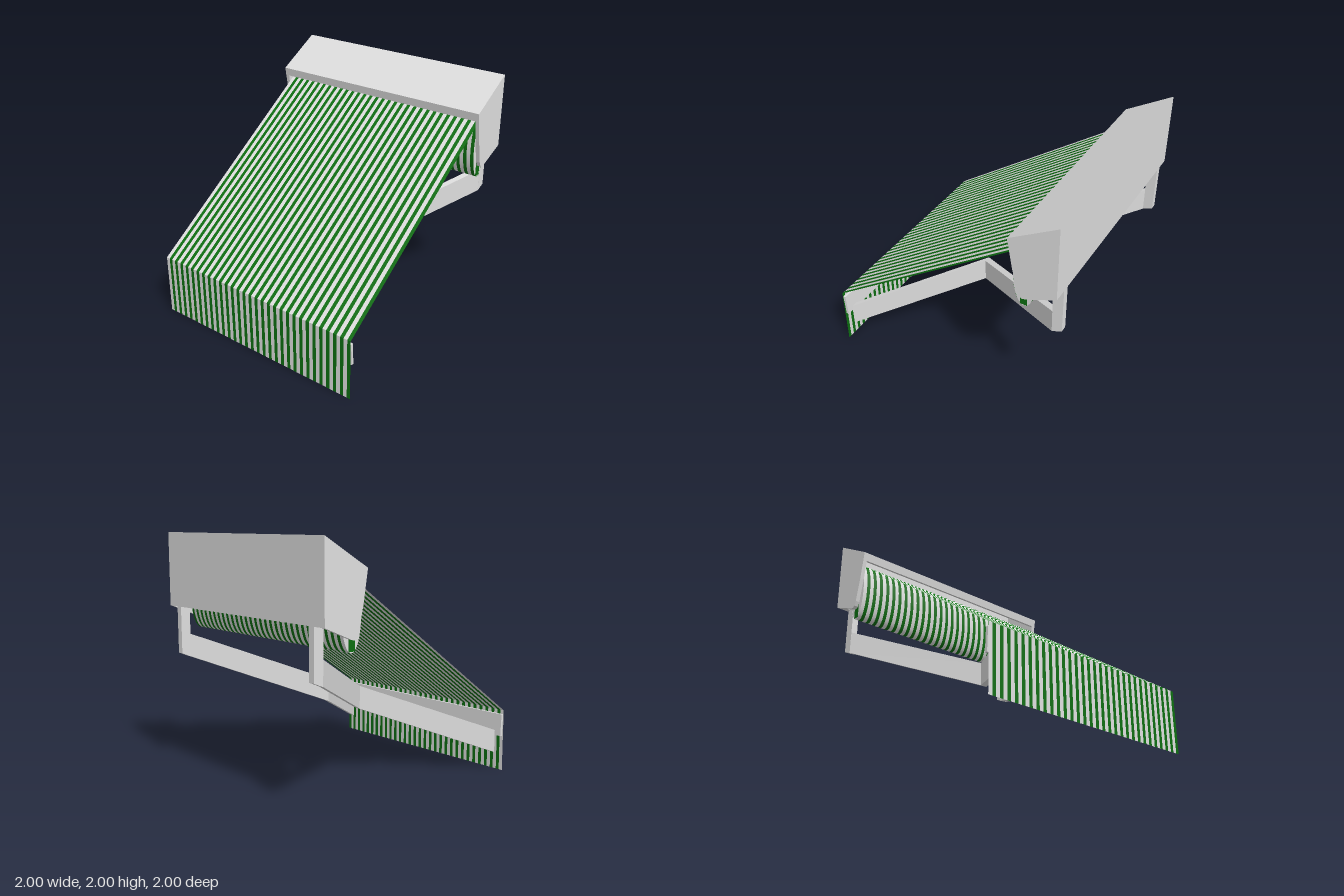
import * as THREE from 'three';
import { mergeGeometries } from 'three/addons/utils/BufferGeometryUtils.js';

const HALF = 0.965;      // half width of the cloth
const STRIPES = 30;
const ROLL = { z: -0.73, y: 1.45, rz: 0.09, ry: 0.26 };

// Extrude a (z, y) outline along x, centred on x = 0
function extrudeX(points, width) {
  const shape = new THREE.Shape(points.map(([z, y]) => new THREE.Vector2(z, y)));
  const g = new THREE.ExtrudeGeometry(shape, { depth: width, bevelEnabled: false });
  return g.rotateY(-Math.PI / 2).translate(width / 2, 0, 0);
}

// Sweep a (z, y) profile line across x from x0 to x1
function ribbon(profile, x0, x1) {
  const pos = [], index = [];
  profile.forEach(([z, y], i) => {
    pos.push(x0, y, z, x1, y, z);
    if (i) {
      const a = 2 * (i - 1);
      index.push(a, a + 1, a + 2, a + 1, a + 3, a + 2);
    }
  });
  const g = new THREE.BufferGeometry();
  g.setAttribute('position', new THREE.Float32BufferAttribute(pos, 3));
  g.setIndex(index);
  g.computeVertexNormals();
  return g;
}

// Slanted bar with upright ends, running from point a to point b
function slantedBar(a, b, width, height) {
  const g = new THREE.BoxGeometry(1, 1, 1);
  const p = g.attributes.position;
  for (let i = 0; i < p.count; i++) {
    const c = new THREE.Vector3().lerpVectors(a, b, p.getZ(i) + 0.5);
    p.setXYZ(i, c.x + p.getX(i) * width, c.y + p.getY(i) * height, c.z);
  }
  g.computeVertexNormals();
  return g;
}

export function createModel() {
  const model = new THREE.Group();
  model.name = 'awning';
  const frameGrey = new THREE.MeshStandardMaterial({ color: 0xdedede });
  frameGrey.name = 'frame grey';
  const clothWhite = new THREE.MeshStandardMaterial({ color: 0xe0e0e0, side: THREE.DoubleSide });
  clothWhite.name = 'cloth white';
  const clothGreen = new THREE.MeshStandardMaterial({ color: 0x0c6e10, side: THREE.DoubleSide });
  clothGreen.name = 'cloth green';

  const add = (name, geometry, material, parent = model) => {
    const mesh = new THREE.Mesh(geometry, material);
    mesh.name = name;
    parent.add(mesh);
    return mesh;
  };

  // Hood: back, roof and front lip in one shell, with a cheek at each end
  const hood = new THREE.Group();
  hood.name = 'hood';
  model.add(hood);
  add('hoodShell', extrudeX([
    [-1, 1.39], [-1, 2], [-0.61, 1.775], [-0.621, 1.705],
    [-0.64, 1.705], [-0.632, 1.765], [-0.98, 1.965], [-0.98, 1.398],
  ], 2), frameGrey, hood);
  const cheek = [
    [-1, 1.39], [-1, 2], [-0.61, 1.775], [-0.65, 1.53], [-0.665, 1.46],
    [-0.68, 1.39], [-0.692, 1.335], [-0.708, 1.297], [-0.73, 1.283], [-0.755, 1.288],
  ];
  for (const s of [-1, 1]) {
    add(s > 0 ? 'leftCheek' : 'rightCheek', extrudeX(cheek, 0.034), frameGrey, hood)
      .position.x = s * 0.983;
  }

  // Striped cloth: roll, sloping sheet tangent to the roll, hanging valance
  const rollProfile = [];
  for (let i = 0; i <= 40; i++) {
    const t = -i / 40 * Math.PI * 2;
    rollProfile.push([ROLL.z + ROLL.rz * Math.cos(t), ROLL.y + ROLL.ry * Math.sin(t)]);
  }
  const clothParts = {
    roll: rollProfile,
    sheet: [[1, 0.52], [-0.709, 1.702]],
    valance: [[1, 0], [1, 0.52]],
  };
  const pitch = 2 * HALF / STRIPES;
  for (const [name, profile] of Object.entries(clothParts)) {
    const white = [], green = [];
    for (let i = 0; i < STRIPES; i++) {
      const x = -HALF + i * pitch, mid = x + pitch * 0.53;
      white.push(ribbon(profile, x, mid));
      green.push(ribbon(profile, mid, x + pitch));
    }
    add(name + 'White', mergeGeometries(white), clothWhite);
    add(name + 'Green', mergeGeometries(green), clothGreen);
  }

  // Roll ends with a green band
  for (const s of [-1, 1]) {
    const cap = add('rollEnd', new THREE.CircleGeometry(1, 40), clothWhite);
    cap.scale.set(ROLL.rz, ROLL.ry, 1);
    cap.rotation.y = s * Math.PI / 2;
    cap.position.set(s * (HALF - 0.001), ROLL.y, ROLL.z);
    add('rollEndBand', new THREE.BoxGeometry(0.004, 0.5, 0.055), clothGreen)
      .position.set(s * (HALF - 0.001), ROLL.y, ROLL.z + 0.003);
  }

  // Front bar behind the valance
  const bar = add('frontBar', new THREE.BoxGeometry(2 * HALF, 0.186, 0.022), frameGrey);
  bar.position.set(0, 0.395, 0.979);
  bar.rotation.x = 0.05;

  // Wall posts and folding arms, elbows pointing inwards
  for (const s of [-1, 1]) {
    const arm = new THREE.Group();
    arm.name = s > 0 ? 'leftArm' : 'rightArm';
    model.add(arm);
    add('wallPost', extrudeX([[-1, 1], [-0.92, 0.966], [-0.915, 1.42], [-1, 1.42]], 0.055),
      frameGrey, arm).position.x = s * 0.86;
    const shoulder = new THREE.Vector3(s * 0.86, 1.063, -0.92);
    const elbow = new THREE.Vector3(s * 0.2, 0.65, 0.035);
    const hand = new THREE.Vector3(s * 0.88, 0.25, 0.962);
    add('upperArm', slantedBar(shoulder, elbow, 0.055, 0.192), frameGrey, arm);
    add('foreArm', slantedBar(elbow, hand, 0.055, 0.192), frameGrey, arm);
  }
  return model;
}
